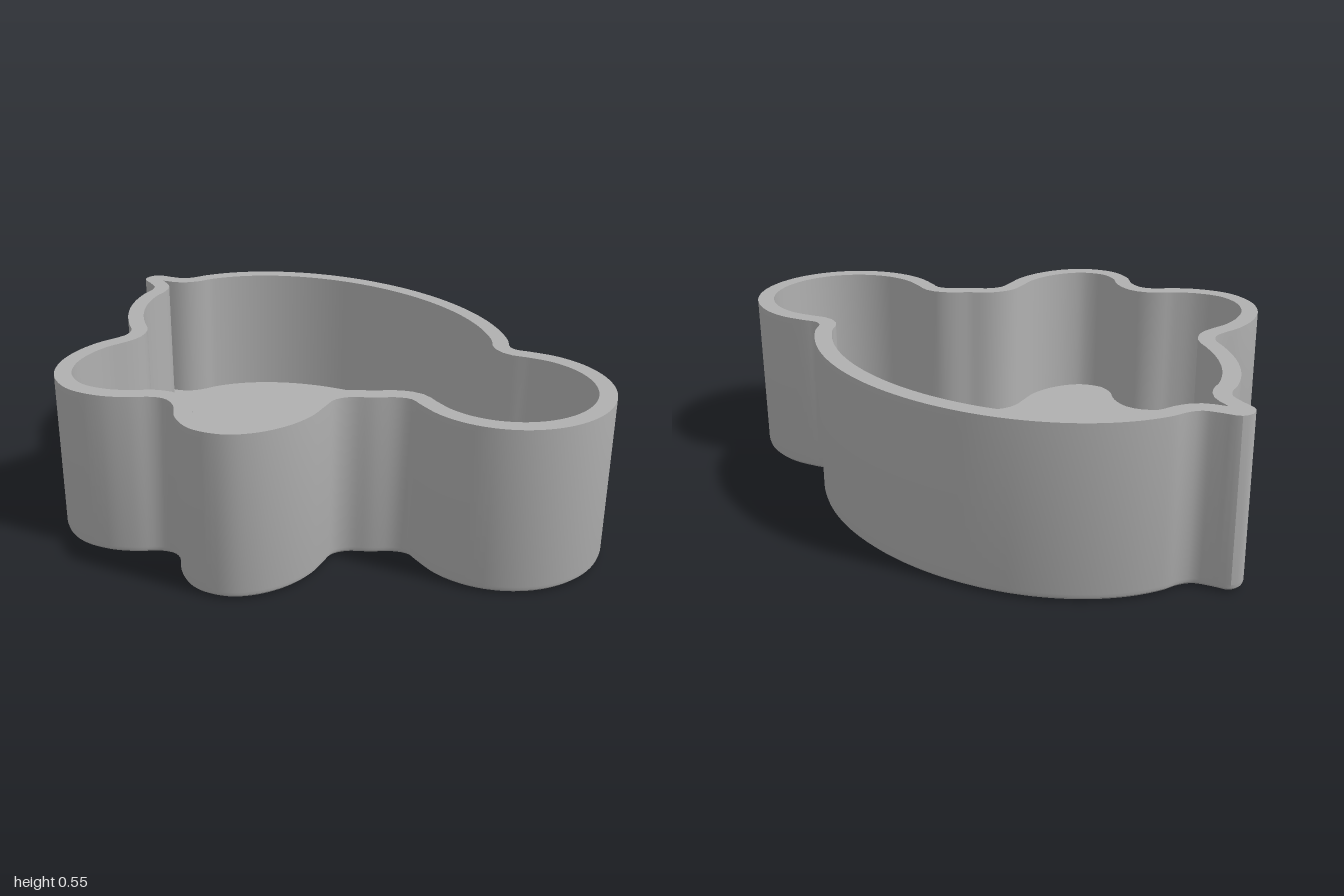
import * as THREE from 'three';
import { toCreasedNormals } from 'three/addons/utils/BufferGeometryUtils.js';

const HEIGHT = 0.545, WALL = 0.055, FLOOR = 0.09, ROUND = 0.025;

// points on an elliptical arc in plan (x, z)
function arc(cx, cz, rx, rz, a0, a1, n) {
  return Array.from({ length: n + 1 }, (_, i) => {
    const a = a0 + ((a1 - a0) * i) / n;
    return [cx + rx * Math.cos(a), cz + rz * Math.sin(a)];
  });
}

// plan outline: tail, back, head, two legs, belly
function makeOutline() {
  const tail = [[-0.985, -0.225], [-0.93, -0.245], [-0.885, -0.265], [-0.863, -0.3]];
  const plan = [
    [-1, -0.19], ...tail,
    ...arc(-0.14, -0.19, 0.74, 0.555, 3.43, 5.63, 14),
    [0.485, -0.481], [0.515, -0.472],
    ...arc(0.68, -0.19, 0.32, 0.32, -1.955, 1.955, 14),
    [0.515, 0.092], [0.475, 0.108], [0.42, 0.16], [0.365, 0.205], [0.345, 0.25], [0.355, 0.3],
    [0.375, 0.39], [0.368, 0.49], [0.33, 0.585], [0.27, 0.65], [0.17, 0.683], [0.08, 0.655],
    [0.02, 0.605], [-0.035, 0.587], [-0.08, 0.605], [-0.13, 0.655], [-0.21, 0.708], [-0.32, 0.735],
    [-0.43, 0.7], [-0.51, 0.62], [-0.553, 0.52], [-0.565, 0.42], [-0.555, 0.34], [-0.555, 0.3], [-0.578, 0.26],
    ...arc(-0.14, -0.19, 0.74, 0.555, 2.277, 2.88, 6),
    ...tail.map(([x, z]) => [x, -0.38 - z]).reverse(),
  ];
  const curve = new THREE.CatmullRomCurve3(plan.map(([x, z]) => new THREE.Vector3(x, 0, z)), true);
  curve.arcLengthDivisions = 1500;
  return curve.getSpacedPoints(320).slice(0, -1).map((p) => new THREE.Vector2(p.x, p.z));
}

// move the outline inwards, collapsing points that would cross over in the narrow tail
function inset(outline, d) {
  const n = outline.length;
  if (d === 0) return outline;
  const moved = outline.map((p, i) => {
    const t = outline[(i + 1) % n].clone().sub(outline[(i + n - 1) % n]).normalize();
    return new THREE.Vector2(p.x - t.y * d, p.y + t.x * d);
  });
  const valid = moved.map((q) => outline.every((p) => p.distanceTo(q) > d * 0.95));
  return moved.map((q, i) => {
    for (let k = 0; k < n / 2; k++) {
      if (valid[(i + k) % n]) return moved[(i + k) % n];
      if (valid[(i + n - k) % n]) return moved[(i + n - k) % n];
    }
    return q;
  });
}

// skin through a profile of [inset, height] rings
function skin(outline, profile) {
  const n = outline.length, pos = [], index = [];
  for (const [d, y] of profile) for (const p of inset(outline, d)) pos.push(p.x, y, p.y);
  for (let r = 0; r < profile.length - 1; r++) {
    for (let i = 0; i < n; i++) {
      const a = r * n + i, b = r * n + ((i + 1) % n);
      index.push(a, a + n, b, b, a + n, b + n);
    }
  }
  const g = new THREE.BufferGeometry();
  g.setAttribute('position', new THREE.Float32BufferAttribute(pos, 3));
  g.setIndex(index);
  return toCreasedNormals(g, 0.45);
}

// flat cap facing up (1) or down (-1)
function cap(points, y, up) {
  const shape = new THREE.Shape(points.map((p) => new THREE.Vector2(p.x, -up * p.y)));
  return new THREE.ShapeGeometry(shape).rotateX((-up * Math.PI) / 2).translate(0, y, 0);
}

export function createModel() {
  const group = new THREE.Group();
  const grey = new THREE.MeshStandardMaterial({ color: 0xb0b0b0 });
  grey.name = 'grey';
  const add = (name, geometry) => {
    const mesh = new THREE.Mesh(geometry, grey);
    mesh.name = name;
    group.add(mesh);
    return mesh;
  };
  const outline = makeOutline();

  // wall with a rounded lower edge, flat rim and inner face
  const lower = [0, 1, 2, 3].map((i) => {
    const a = (i / 3) * (Math.PI / 2);
    return [ROUND * (1 - Math.sin(a)), ROUND * (1 - Math.cos(a))];
  });
  lower[3][0] = 0;
  add('wall', skin(outline, [...lower, [0, HEIGHT], [WALL, HEIGHT], [WALL, FLOOR]]));
  add('underside', cap(inset(outline, ROUND), 0, -1));
  add('floor', cap(inset(outline, WALL), FLOOR, 1));

  // round post with a cross-shaped socket
  const disc = new THREE.Shape().absarc(0, 0, 0.1, 0, Math.PI * 2);
  const w = 0.025, l = 0.078;
  disc.holes.push(new THREE.Path([
    [w, l], [w, w], [l, w], [l, -w], [w, -w], [w, -l],
    [-w, -l], [-w, -w], [-l, -w], [-l, w], [-w, w], [-w, l],
  ].map(([x, y]) => new THREE.Vector2(x, y))));
  const postGeometry = new THREE.ExtrudeGeometry(disc, { depth: 0.16, bevelEnabled: false, curveSegments: 32 });
  const post = add('socketPost', toCreasedNormals(postGeometry.rotateX(-Math.PI / 2), 0.5));
  post.position.set(-0.065, FLOOR, -0.19);
  return group;
}
